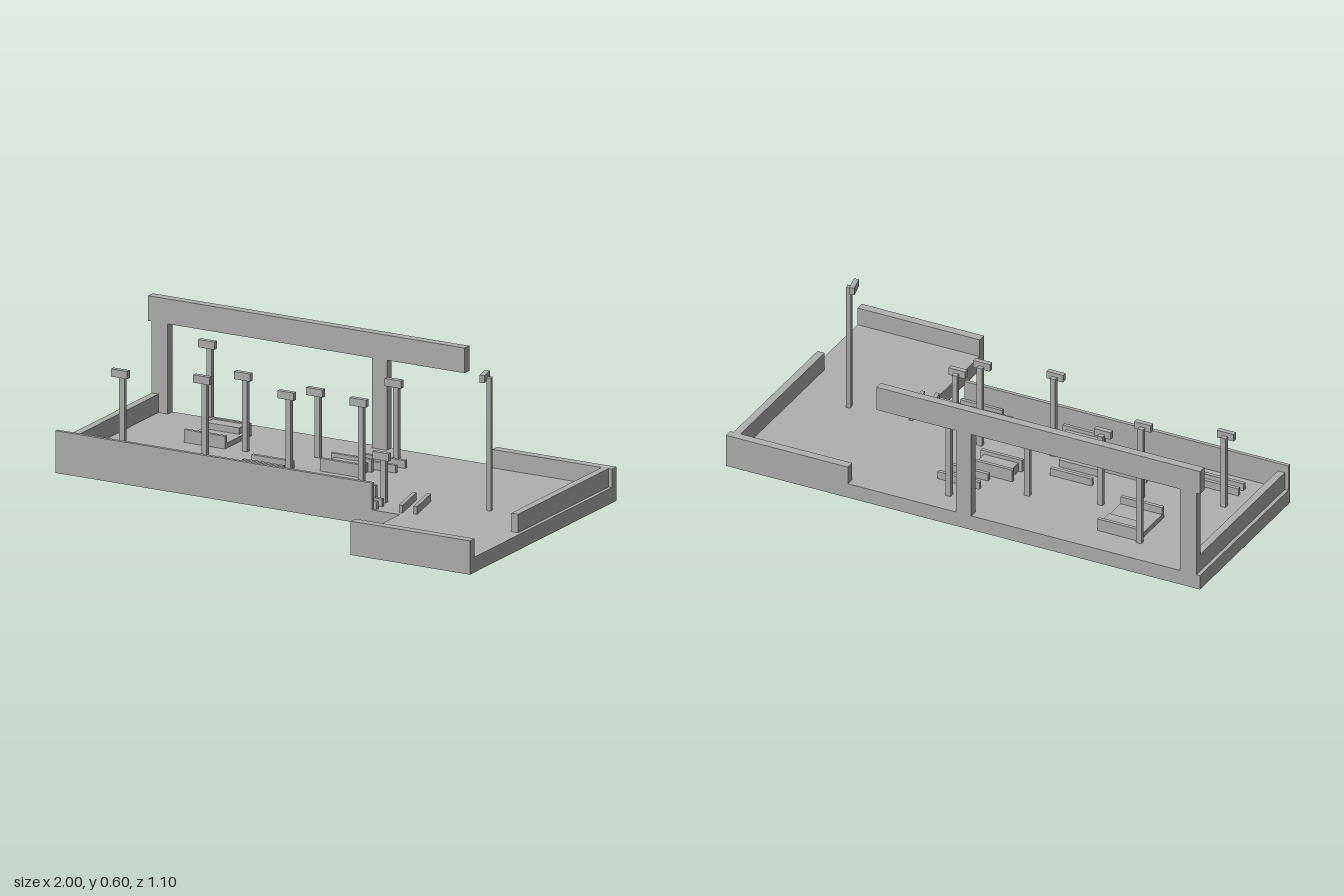
import * as THREE from 'three';

export function createModel() {
  const model = new THREE.Group();
  const concrete = new THREE.MeshStandardMaterial({ color: 0xb0b0b0 });
  concrete.name = 'plainGrey';
  const FLOOR = 0.06;

  // Box from its minimum and maximum corners
  function box(name, x0, x1, y0, y1, z0, z1, parent = model) {
    const geo = new THREE.BoxGeometry(x1 - x0, y1 - y0, z1 - z0);
    geo.translate((x0 + x1) / 2, (y0 + y1) / 2, (z0 + z1) / 2);
    const mesh = new THREE.Mesh(geo, concrete);
    mesh.name = name;
    parent.add(mesh);
    return mesh;
  }

  function group(name, x, z, turn = 0) {
    const g = new THREE.Group();
    g.name = name;
    g.position.set(x, FLOOR, z);
    g.rotation.y = turn;
    model.add(g);
    return g;
  }

  // L-shaped floor slab, outlined as [x, z]
  const outline = [[-1, 0.18], [0.485, 0.18], [0.485, 0.552], [1, 0.552], [1, -0.552], [-1, -0.552]];
  const slab = new THREE.Shape(outline.map(([x, z]) => new THREE.Vector2(x, -z)));
  const slabGeo = new THREE.ExtrudeGeometry(slab, { depth: FLOOR, bevelEnabled: false });
  slabGeo.rotateX(-Math.PI / 2);
  const floor = new THREE.Mesh(slabGeo, concrete);
  floor.name = 'floor';
  model.add(floor);

  // Low walls around the edge
  box('frontWall', -1, 0.365, FLOOR, 0.165, 0.165, 0.18);
  box('entranceFrontWall', 0.485, 1, FLOOR, 0.132, 0.517, 0.552);
  box('backWall', 0.485, 1, FLOOR, 0.132, -0.552, -0.517);
  box('leftWall', 0.955, 0.985, FLOOR, 0.132, -0.517, 0.163);
  box('rightWall', -0.985, -0.955, FLOOR, 0.132, -0.517, 0.165);

  // Back frame: two posts and an overhanging beam
  box('backPost', -0.985, -0.915, FLOOR, 0.412, -0.552, -0.517);
  box('backPost', -0.035, 0.03, FLOOR, 0.412, -0.552, -0.517);
  box('backBeam', -1, 0.365, 0.412, 0.51, -0.552, -0.517);

  // Signs on poles: x, z of the joint between pole and head, top height, turn
  const signs = [
    [-0.84, -0.04, 0.373], [-0.685, -0.425, 0.41], [-0.535, -0.125, 0.373],
    [-0.425, -0.24, 0.373], [-0.15, -0.305, 0.335], [-0.1, 0, 0.41],
    [0.11, -0.442, 0.373], [0.18, -0.055, 0.41], [0.355, 0.08, 0.262],
    [0.738, -0.036, 0.595, -1.35],
  ];
  for (const [x, z, top, turn] of signs) {
    const sign = group('sign', x, z, turn);
    const h = top - FLOOR;
    box('signPole', -0.011, 0.011, 0, h - 0.016, -0.018, 0, sign);
    box('signHead', -0.035, 0.035, h - 0.03, h, 0, 0.02, sign);
  }

  // Pairs of low rails: x, z centre, distance between them, turn
  const rails = [
    [-0.765, 0.07, 0.042], [-0.415, 0.015, 0.078], [-0.245, -0.103, 0.072],
    [0.117, -0.32, 0.07], [0.29, 0.14, 0.04], [0.485, 0.067, 0.057, -1.35],
  ];
  for (const [x, z, gap, turn] of rails) {
    const pair = group('railPair', x, z, turn);
    for (const s of [-1, 1]) {
      box('rail', -0.088, 0.088, 0, 0.03, s * gap / 2 - 0.0075, s * gap / 2 + 0.0075, pair);
    }
  }

  // Blocks held between two boards: x, z centre, outer depth
  for (const [x, z, depth] of [[0.034, -0.208, 0.095], [-0.153, 0.112, 0.066], [0.215, 0.065, 0.068]]) {
    const stand = group('boardedBlock', x, z);
    const d = depth / 2;
    box('board', -0.088, 0.088, 0, 0.05, -d, -d + 0.014, stand);
    box('board', -0.088, 0.088, 0, 0.05, d - 0.014, d, stand);
    box('block', -0.072, 0.072, 0, 0.035, -d + 0.014, d - 0.014, stand);
  }

  // Wide platform with end boards and a raised block at the back
  const platform = group('platform', -0.592, -0.33);
  box('platformDeck', -0.088, 0.088, 0, 0.02, -0.086, 0.086, platform);
  box('board', -0.088, 0.088, 0, 0.05, 0.086, 0.1, platform);
  box('board', -0.088, 0.088, 0, 0.05, -0.1, -0.086, platform);
  box('block', -0.072, 0.072, 0.02, 0.045, -0.086, -0.035, platform);

  return model;
}
